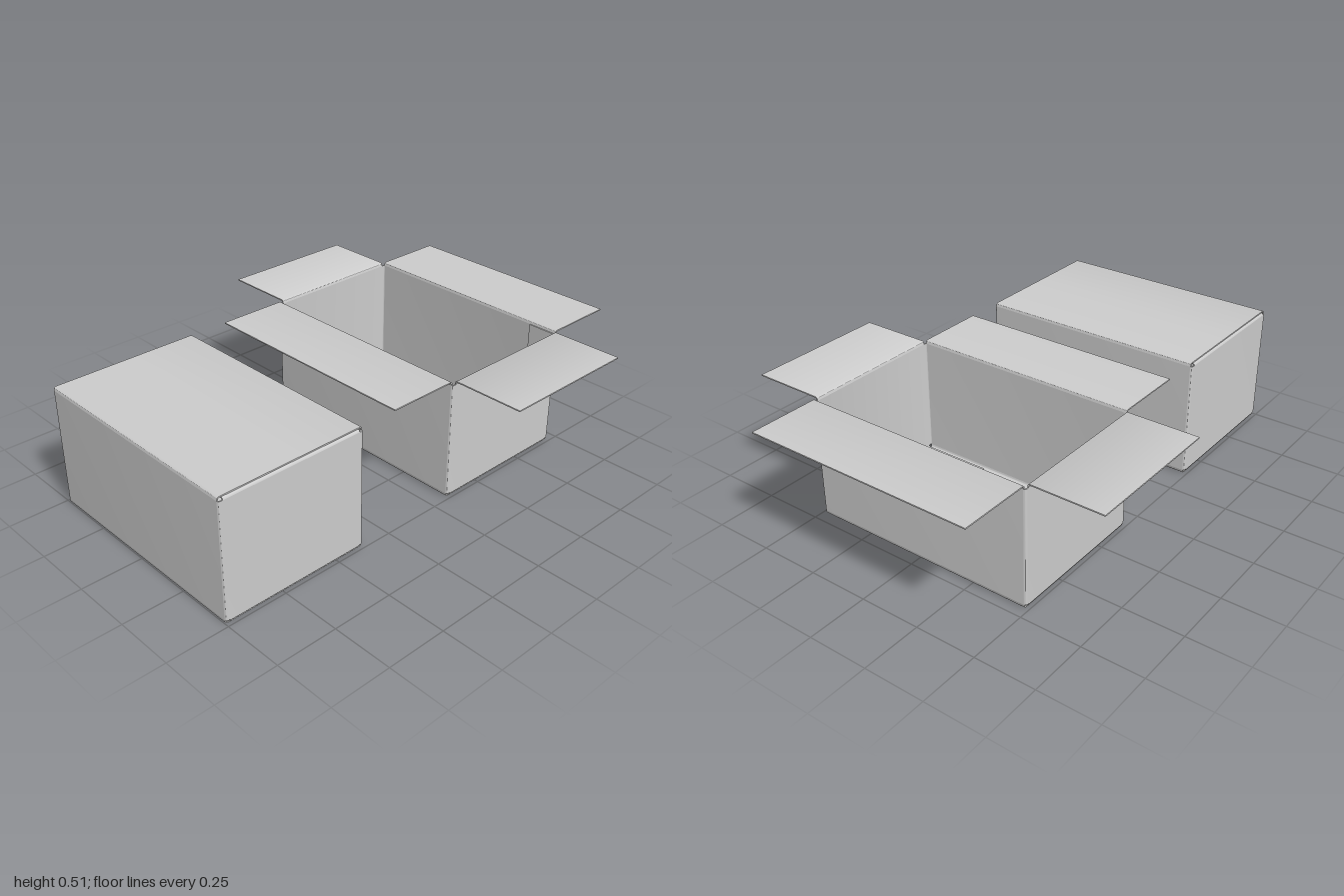
import * as THREE from 'three';
import { toCreasedNormals } from 'three/addons/utils/BufferGeometryUtils.js';

const T = 0.005;            // card thickness
const R = 0.005;            // inner radius of the folds
const H = 0.507;            // box height
const HX = 0.49, HZ = 0.3125; // half width, half depth (outer faces)
const LOW = R + 2 * T;      // height at which the straight walls begin

const material = new THREE.MeshStandardMaterial({ color: 0xcccccc });

function extrude(shape, depth, name) {
  const geo = new THREE.ExtrudeGeometry(shape, { depth, bevelEnabled: false, curveSegments: 6 });
  geo.translate(0, 0, -depth / 2);
  const mesh = new THREE.Mesh(toCreasedNormals(geo, Math.PI / 5), material);
  mesh.name = name;
  return mesh;
}

function roundedRect(target, a, b, r) {
  target.moveTo(a, -b + r);
  target.absarc(a - r, b - r, r, 0, Math.PI / 2);
  target.absarc(-a + r, b - r, r, Math.PI / 2, Math.PI);
  target.absarc(-a + r, -b + r, r, Math.PI, Math.PI * 1.5);
  target.absarc(a - r, -b + r, r, Math.PI * 1.5, Math.PI * 2);
  return target;
}

// Flap with a rounded fold: rises from the wall at x = 0, then runs along +x
function flap(width, length, stem, name) {
  const c = R + T / 2;
  const s = new THREE.Shape();
  s.moveTo(-T / 2, 0);
  s.lineTo(-T / 2, stem);
  s.absarc(c, stem, R + T, Math.PI, Math.PI / 2, true);
  s.lineTo(length, stem + R + T);
  s.lineTo(length, stem + R);
  s.absarc(c, stem, R, Math.PI / 2, Math.PI, false);
  s.lineTo(T / 2, 0);
  s.closePath();
  return extrude(s, width, name);
}

// Four flaps around the top or bottom rim, folded inward or outward
function flapSet(inward, name) {
  const set = new THREE.Group();
  set.name = name;
  const sides = [
    { label: 'left', yaw: 0, dist: HX - T / 2, width: 0.59, end: true },
    { label: 'back', yaw: Math.PI / 2, dist: HZ - T / 2, width: 0.966, end: false },
    { label: 'right', yaw: Math.PI, dist: HX - T / 2, width: 0.59, end: true },
    { label: 'front', yaw: -Math.PI / 2, dist: HZ - T / 2, width: 0.966, end: false },
  ];
  for (const { label, yaw, dist, width, end } of sides) {
    const length = end ? 0.3 : inward ? dist : 0.2975;
    // end flaps tuck under the long ones when folded in
    const f = flap(width, length, inward && end ? 0 : T, label + 'Flap');
    f.position.set(Math.cos(yaw) * dist, 0, -Math.sin(yaw) * dist);
    f.rotation.y = yaw + (inward ? Math.PI : 0);
    set.add(f);
  }
  return set;
}

function box(name, open, z) {
  const group = new THREE.Group();
  group.name = name;
  group.position.z = z;

  // Walls: one sheet wrapped round with rounded corners
  const ring = roundedRect(new THREE.Shape(), HX, HZ, 0.01);
  ring.holes.push(roundedRect(new THREE.Path(), HX - T, HZ - T, 0.01 - T));
  const walls = extrude(ring, H - 2 * LOW, 'walls');
  walls.rotation.x = -Math.PI / 2;
  walls.position.y = H / 2;
  group.add(walls);

  // Glue tab inside the back wall
  const tab = new THREE.Mesh(new THREE.BoxGeometry(0.13, H - 2 * LOW, T), material);
  tab.name = 'glueTab';
  tab.position.set(HX - T - 0.065, H / 2, -HZ + 1.5 * T);
  group.add(tab);

  // Top flaps, and bottom flaps turned upside down
  const top = flapSet(!open, 'topFlaps');
  top.position.y = H - LOW;
  const bottom = flapSet(true, 'bottomFlaps');
  bottom.rotation.x = Math.PI;
  bottom.position.y = LOW;
  group.add(top, bottom);
  return group;
}

export function createModel() {
  const model = new THREE.Group();
  model.name = 'cardboardBoxes';
  model.add(box('openBox', true, -0.3925), box('closedBox', false, 0.6875));
  return model;
}
